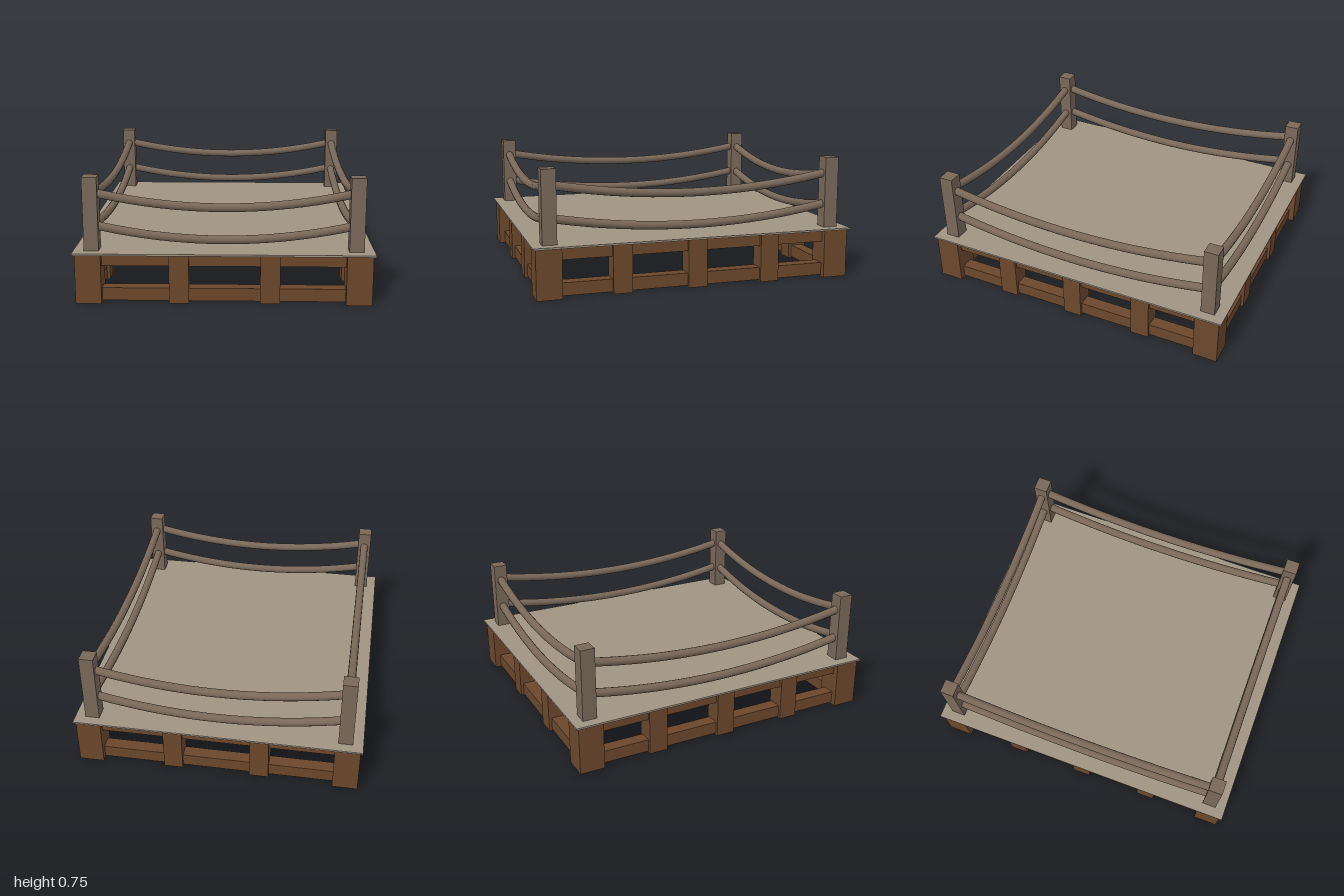
import * as THREE from 'three';

export function createModel() {
  const model = new THREE.Group();
  model.name = 'ropedPlatform';

  const frameWood = new THREE.MeshStandardMaterial({ color: 0x6b472c });
  frameWood.name = 'brownFrameWood';
  const postWood = new THREE.MeshStandardMaterial({ color: 0x796859 });
  postWood.name = 'greyBrownPost';
  const deckTan = new THREE.MeshStandardMaterial({ color: 0xa09483 });
  deckTan.name = 'tanDeck';

  const add = (name, geometry, material, x = 0, y = 0, z = 0) => {
    const mesh = new THREE.Mesh(geometry, material);
    mesh.name = name;
    mesh.position.set(x, y, z);
    model.add(mesh);
  };
  // box placed by its bottom and top heights
  const box = (name, material, x, z, w, d, y0, y1) =>
    add(name, new THREE.BoxGeometry(w, y1 - y0, d), material, x, (y0 + y1) / 2, z);

  const FX = 0.797, FZ = 0.907; // centre lines of the base frame
  const PX = 0.78, PZ = 0.892;  // centre lines of the posts and ropes
  const LEG = 0.154, MID = 0.118, RAIL = 0.08, DECK = 0.3;

  // deck
  box('deck', deckTan, 0, 0, 1.774, 2, DECK, 0.311);

  // corner legs and the posts above them
  for (const sx of [-1, 1]) for (const sz of [-1, 1]) {
    box('cornerLeg', frameWood, sx * FX, sz * FZ, LEG, LEG, 0, DECK);
    box('post', postWood, sx * PX, sz * PZ, 0.088, 0.088, 0.311, 0.753);
  }

  // sagging rope along x or z
  const rope = (alongX, side, endY, sag) => {
    const half = alongX ? PX : PZ;
    const at = (t, y) => alongX
      ? new THREE.Vector3(t, y, side * PZ)
      : new THREE.Vector3(side * PX, y, t);
    const curve = new THREE.QuadraticBezierCurve3(
      at(-half, endY), at(0, endY - 2 * sag), at(half, endY));
    add('rope', new THREE.TubeGeometry(curve, 20, 0.026, 12), postWood);
  };

  for (const s of [-1, 1]) {
    // intermediate legs
    for (const x of [-0.264, 0.274]) box('middleLeg', frameWood, x, s * FZ, MID, MID, 0, DECK);
    for (const z of [-0.468, 0, 0.466]) box('middleLeg', frameWood, s * FX, z, MID, MID, 0, DECK);

    // lower and upper frame rails
    for (const [y0, y1] of [[0.01, 0.088], [0.224, DECK]]) {
      box('frameRail', frameWood, 0, s * FZ, 2 * FX - LEG, RAIL, y0, y1);
      box('frameRail', frameWood, s * FX, 0, RAIL, 2 * FZ - LEG, y0, y1);
    }

    // two ropes on each side
    for (const y of [0.657, 0.462]) {
      rope(true, s, y, 0.091);
      rope(false, s, y, 0.087);
    }
  }

  return model;
}
